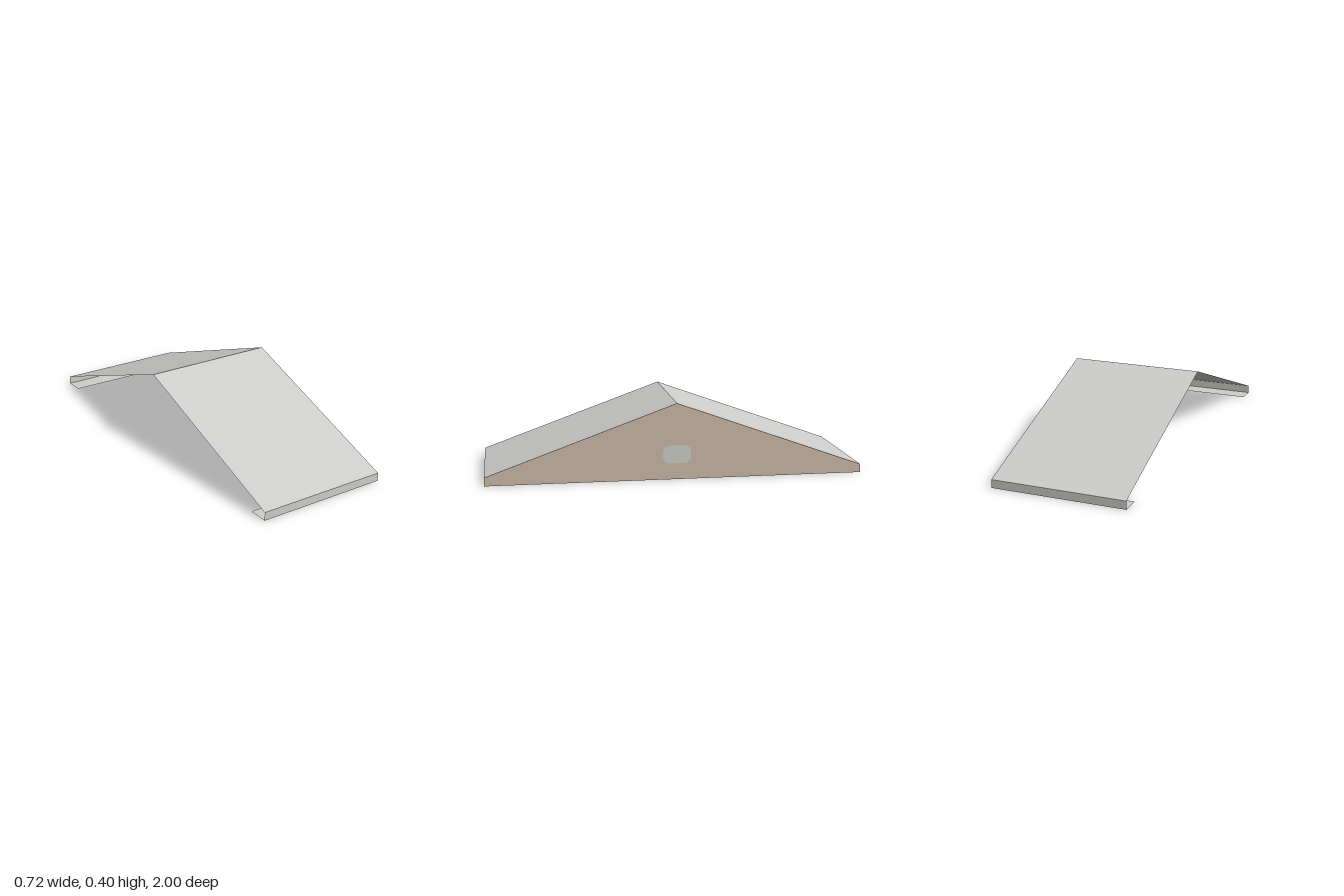
import * as THREE from 'three';

const HALF_W = 0.357; // half width along x
const HALF_L = 1.0;   // half length along z
const EAVE = 0.044;   // top of the fascia
const RIDGE = 0.404;
const SOFFIT = 0.105; // soffit depth

export function createModel() {
  const group = new THREE.Group();
  group.name = 'gableRoof';

  // Every part is an open sheet, so all materials show both sides
  const material = (name, color) => {
    const m = new THREE.MeshStandardMaterial({ color, side: THREE.DoubleSide });
    m.name = name;
    return m;
  };
  const roofGrey = material('roof grey', 0xcdcdcb);
  const trimGrey = material('trim grey', 0xcdcdc9);
  const sidingTan = material('siding tan', 0xcbbaa9);

  // Flat strip spanning the full width between two (z, y) points
  const addStrip = (name, mat, [z0, y0], [z1, y1]) => {
    const geo = new THREE.PlaneGeometry(2 * HALF_W, Math.hypot(z1 - z0, y1 - y0));
    geo.rotateX(Math.atan2(z1 - z0, y1 - y0));
    geo.translate(0, (y0 + y1) / 2, (z0 + z1) / 2);
    const mesh = new THREE.Mesh(geo, mat);
    mesh.name = name;
    group.add(mesh);
  };

  // Roof slope, fascia and soffit; the back half runs the other way so normals face out
  for (const [label, s] of [['front', 1], ['back', -1]]) {
    const strip = (part, mat, a, b) =>
      s > 0 ? addStrip(label + part, mat, a, b) : addStrip(label + part, mat, b, a);
    strip('RoofSlope', roofGrey, [s * HALF_L, EAVE], [0, RIDGE]);
    strip('Fascia', trimGrey, [s * HALF_L, 0], [s * HALF_L, EAVE]);
    strip('Soffit', trimGrey, [s * (HALF_L - SOFFIT), 0], [s * HALF_L, 0]);
  }

  // Flat outline turned to face +x
  const addSidePanel = (name, mat, shape, x) => {
    const geo = new THREE.ShapeGeometry(shape, 6);
    geo.rotateY(Math.PI / 2);
    geo.translate(x, 0, 0);
    const mesh = new THREE.Mesh(geo, mat);
    mesh.name = name;
    group.add(mesh);
  };

  // Gable wall closing the +x end only
  const gable = new THREE.Shape([
    new THREE.Vector2(-HALF_L, 0),
    new THREE.Vector2(HALF_L, 0),
    new THREE.Vector2(HALF_L, EAVE),
    new THREE.Vector2(0, RIDGE),
    new THREE.Vector2(-HALF_L, EAVE),
  ]);
  addSidePanel('gableWall', sidingTan, gable, HALF_W);

  // Rounded vent in the gable
  const w = 0.075, y0 = 0.086, y1 = 0.182, r = 0.038;
  const vent = new THREE.Shape();
  vent.absarc(w - r, y0 + r, r, -Math.PI / 2, 0);
  vent.absarc(w - r, y1 - r, r, 0, Math.PI / 2);
  vent.absarc(-w + r, y1 - r, r, Math.PI / 2, Math.PI);
  vent.absarc(-w + r, y0 + r, r, Math.PI, Math.PI * 1.5);
  addSidePanel('gableVent', trimGrey, vent, HALF_W + 0.002);

  return group;
}
